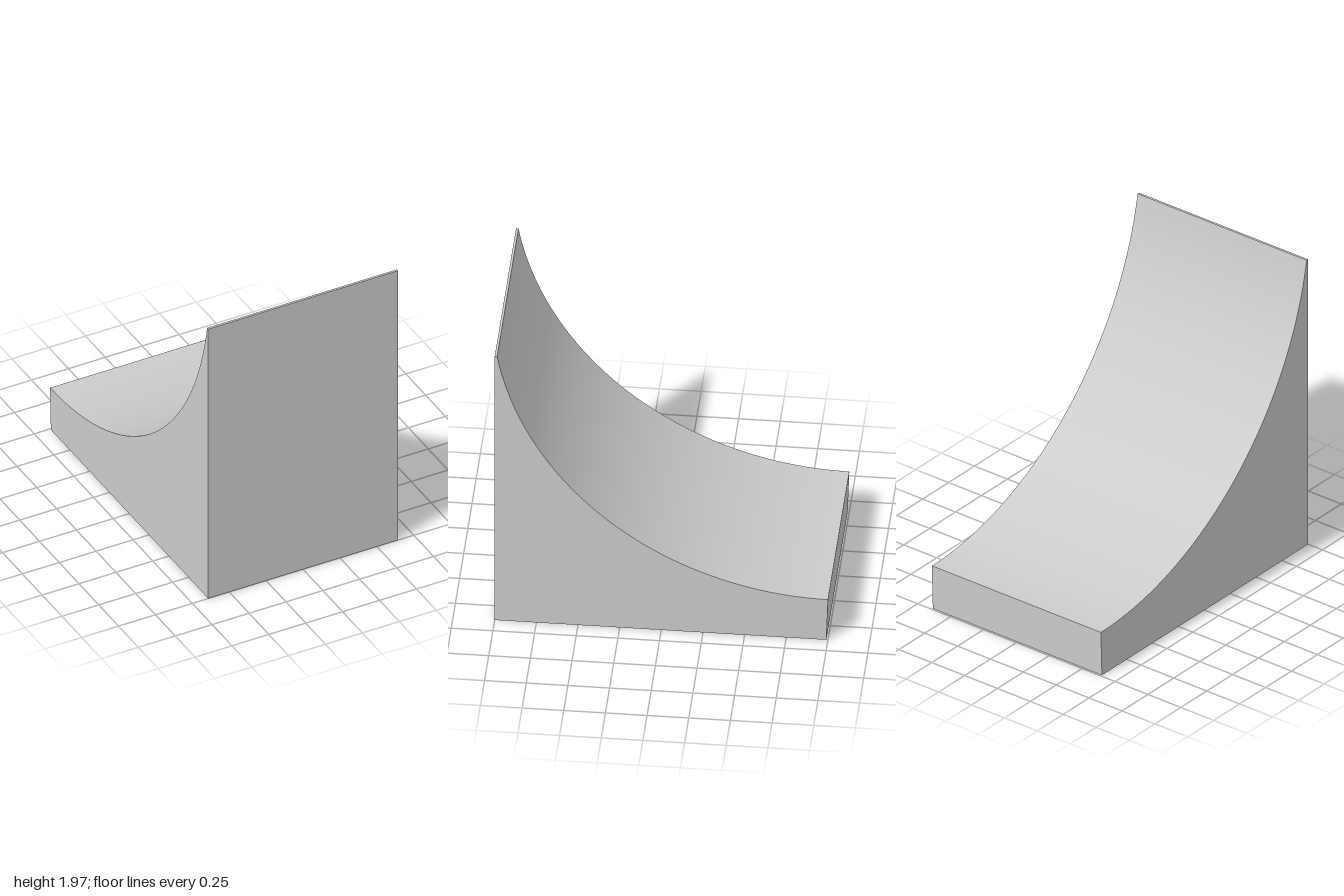
import * as THREE from 'three';
import { toCreasedNormals } from 'three/addons/utils/BufferGeometryUtils.js';

export function createModel() {
  const group = new THREE.Group();
  group.name = 'curvedRamp';
  const width = 1.285, height = 1.965, radius = 2.016;
  const centreZ = -1, centreY = 0.3 + radius;

  // Side profile: shape x becomes depth (z), shape y is height
  const profile = new THREE.Shape();
  profile.moveTo(-0.99, 0);
  profile.lineTo(1, 0);
  profile.lineTo(1, height);
  profile.lineTo(0.985, height);
  // Concave slope, running down from the top lip to the low end
  const lipAngle = Math.atan2(height - centreY, 0.985 - centreZ);
  profile.absarc(centreZ, centreY, radius, lipAngle, -Math.PI / 2, true);
  profile.closePath();

  // Extruded across the width and turned so the profile faces sideways
  const geometry = new THREE.ExtrudeGeometry(profile, {
    depth: width, bevelEnabled: false, curveSegments: 48,
  });
  geometry.translate(0, 0, -width / 2);
  geometry.rotateY(-Math.PI / 2);

  const ramp = new THREE.Mesh(
    toCreasedNormals(geometry, Math.PI / 6),
    new THREE.MeshStandardMaterial({ color: 0xcccccc }),
  );
  ramp.name = 'rampBody';
  group.add(ramp);
  return group;
}
